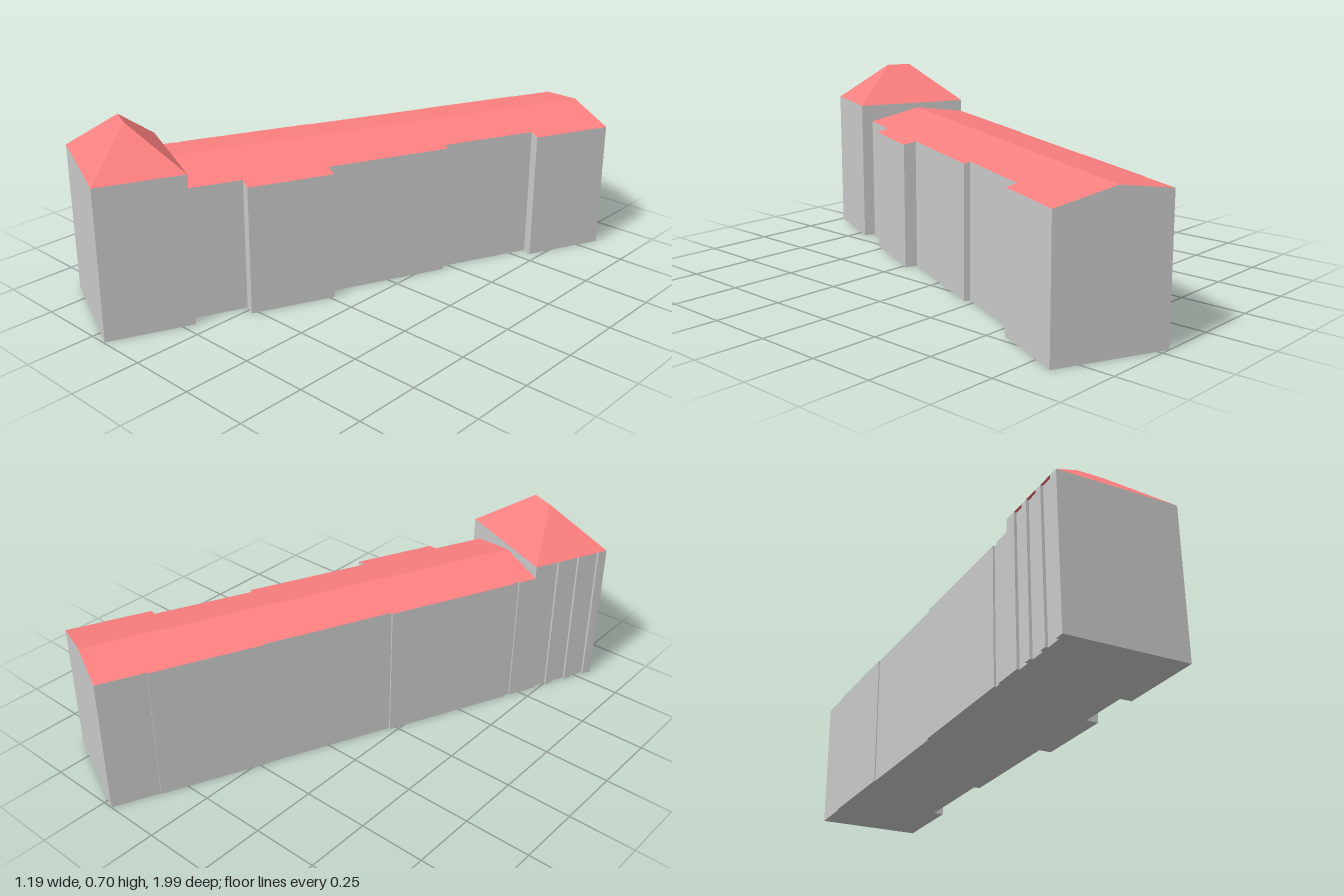
import * as THREE from 'three';

const RIDGE = -0.015, RIDGE_Y = 0.537, EAVE_Y = 0.557;
const wallMat = new THREE.MeshStandardMaterial({ color: 0xcccccc, flatShading: true });
const roofMat = new THREE.MeshStandardMaterial({ color: 0xff8080, flatShading: true });

// Plans are [across, along] points, counter-clockwise seen from above
const hallHeight = (s) => RIDGE_Y - (s > RIDGE ? 0.235 * (s - RIDGE) : 0.138 * (RIDGE - s));

const toShape = (plan, flip = 1) => new THREE.Shape(plan.map(([s, t]) => new THREE.Vector2(s, flip * t)));

function named(name, geometry, material) {
  const mesh = new THREE.Mesh(geometry, material);
  mesh.name = name;
  return mesh;
}

// Polygons given as corner lists, fanned into triangles
function polygons(faces) {
  const pos = [];
  for (const f of faces)
    for (let i = 1; i < f.length - 1; i++) pos.push(...f[0], ...f[i], ...f[i + 1]);
  const g = new THREE.BufferGeometry();
  g.setAttribute('position', new THREE.Float32BufferAttribute(pos, 3));
  g.computeVertexNormals();
  return g;
}

// Vertical walls around a plan, their tops following a height rule
function walls(plan, height) {
  return polygons(plan.map(([s, t], i) => {
    const [s2, t2] = plan[(i + 1) % plan.length];
    return [[s, 0, -t], [s2, 0, -t2], [s2, height(s2), -t2], [s, height(s), -t]];
  }));
}

const floor = (plan) => new THREE.ShapeGeometry(toShape(plan, -1)).rotateX(Math.PI / 2);

// One roof slope: flat plan lifted by the height rule
function slope(plan) {
  const g = new THREE.ShapeGeometry(toShape(plan)).rotateX(-Math.PI / 2);
  const p = g.attributes.position;
  for (let i = 0; i < p.count; i++) p.setY(i, hallHeight(p.getX(i)));
  g.computeVertexNormals();
  return g;
}

// Stepped side of a plan from bays of [offset, start, end]
const stepped = (bays) => bays.flatMap(([s, a, b]) => [[s, a], [s, b]]);

function createHall() {
  const right = stepped([
    [0.187, -0.67, -0.468], [0.234, -0.468, -0.153], [0.187, -0.153, 0.316],
    [0.164, 0.316, 0.689], [0.204, 0.689, 1],
  ]);
  const left = stepped([
    [-0.209, 1, 0.824], [-0.214, 0.824, 0.42], [-0.21, 0.42, -0.07],
    [-0.217, -0.07, -0.575], [-0.21, -0.575, -0.6], [-0.216, -0.6, -0.67],
  ]);
  const near = [RIDGE, -0.67], far = [RIDGE, 1];
  const plan = [near, ...right, far, ...left];
  const hall = new THREE.Group();
  hall.name = 'hall';
  hall.add(
    named('hallWalls', walls(plan, hallHeight), wallMat),
    named('hallFloor', floor(plan), wallMat),
    named('hallRoofRight', slope([near, ...right, far]), roofMat),
    named('hallRoofLeft', slope([far, ...left, near]), roofMat),
  );
  return hall;
}

function createTower() {
  const x0 = -0.216, x1 = 0.231, t0 = -0.986, t1 = -0.67;
  // Shallow pilasters along the left wall
  const cuts = [t1, -0.72, -0.77, -0.8, -0.86, -0.89, -0.95, t0];
  const left = stepped(cuts.slice(1).map((c, i) => [i % 2 ? x0 + 0.01 : x0, cuts[i], c]));
  const plan = [[x1, t0], [x1, t1], ...left];
  // Hipped roof with a short ridge running across
  const a = [x0, EAVE_Y, -t0], b = [x1, EAVE_Y, -t0], c = [x1, EAVE_Y, -t1], d = [x0, EAVE_Y, -t1];
  const r1 = [-0.038, 0.705, 0.831], r2 = [0.06, 0.705, 0.831];
  const tower = new THREE.Group();
  tower.name = 'tower';
  tower.add(
    named('towerWalls', walls(plan, () => EAVE_Y), wallMat),
    named('towerFloor', floor(plan), wallMat),
    named('towerRoof', polygons([[a, b, r2, r1], [b, c, r2], [c, d, r1, r2], [d, a, r1], [a, d, c, b]]), roofMat),
  );
  return tower;
}

export function createModel() {
  const building = new THREE.Group();
  building.name = 'building';
  building.add(createHall(), createTower());
  building.rotation.y = -0.415;
  const model = new THREE.Group();
  model.add(building);
  return model;
}
